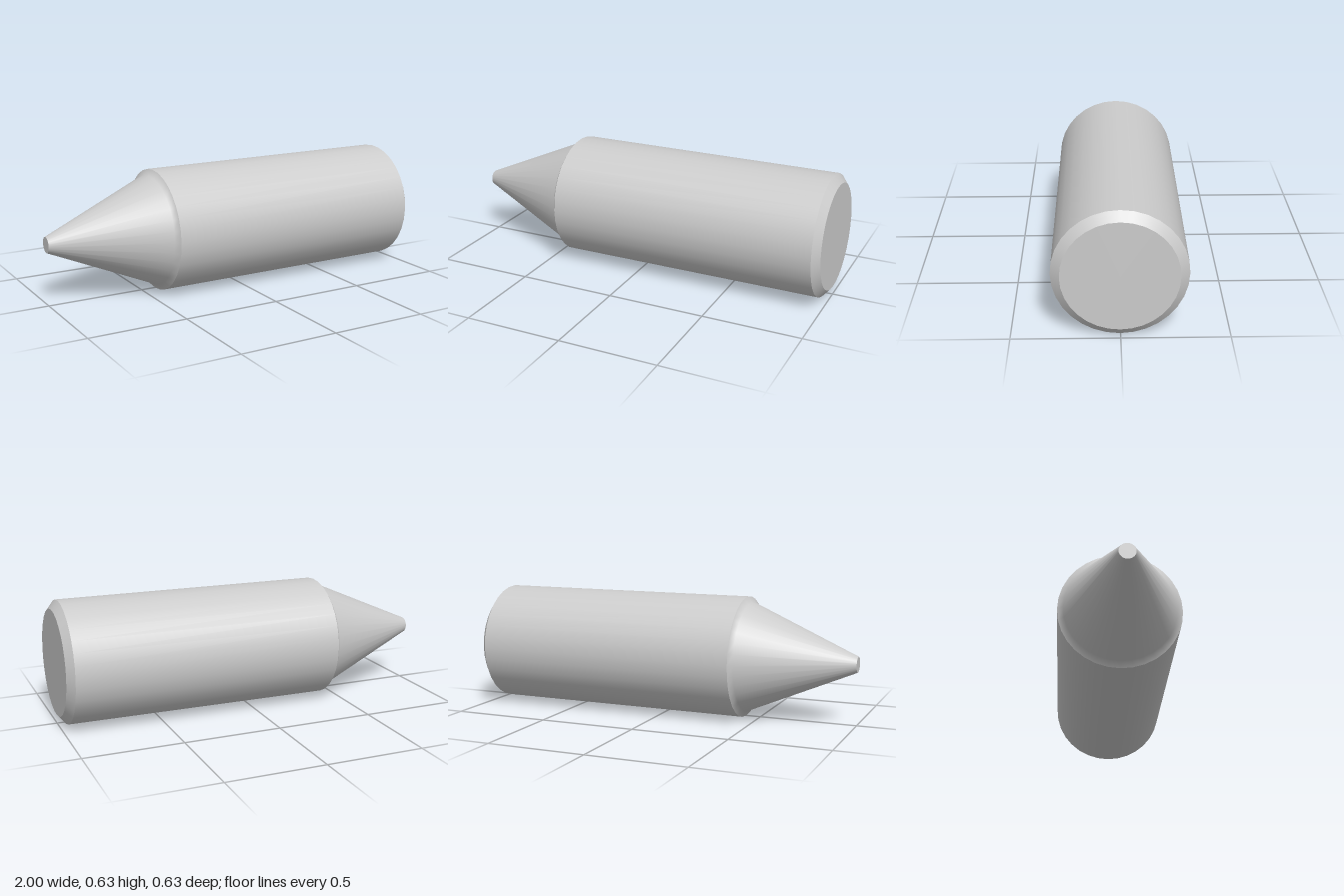
import * as THREE from 'three';

const SIDES = 32;
const material = new THREE.MeshStandardMaterial({ color: 0xcccccc });

// Surface turned around the x axis; points are [x, radius] from tip to rear
function turned(name, points) {
  const geometry = new THREE.LatheGeometry(points.map(([x, r]) => new THREE.Vector2(r, x)), SIDES);
  geometry.rotateZ(-Math.PI / 2);
  const mesh = new THREE.Mesh(geometry, material);
  mesh.name = name;
  return mesh;
}

// Flat end disc facing +x (dir 1) or -x (dir -1)
function endDisc(name, x, radius, dir) {
  const geometry = new THREE.CircleGeometry(radius, SIDES);
  geometry.rotateY(dir * Math.PI / 2).translate(x, 0, 0);
  const mesh = new THREE.Mesh(geometry, material);
  mesh.name = name;
  return mesh;
}

export function createModel() {
  const pin = new THREE.Group();
  pin.name = 'pointedPin';
  pin.add(
    endDisc('tipFace', -1, 0.04, -1),
    // Cone with a short flare where it meets the body
    turned('taperedPoint', [[-1, 0.04], [-0.445, 0.281], [-0.424, 0.311]]),
    turned('cylindricalBody', [[-0.424, 0.311], [0.965, 0.311]]),
    turned('rearChamfer', [[0.965, 0.311], [1, 0.269]]),
    endDisc('rearFace', 1, 0.269, 1),
  );

  // The pin rests with a very slight tilt
  pin.rotation.set(0, -0.003, 0.003);
  pin.position.set(0, 0.3125, 0);

  const model = new THREE.Group();
  model.name = 'model';
  model.add(pin);
  return model;
}
